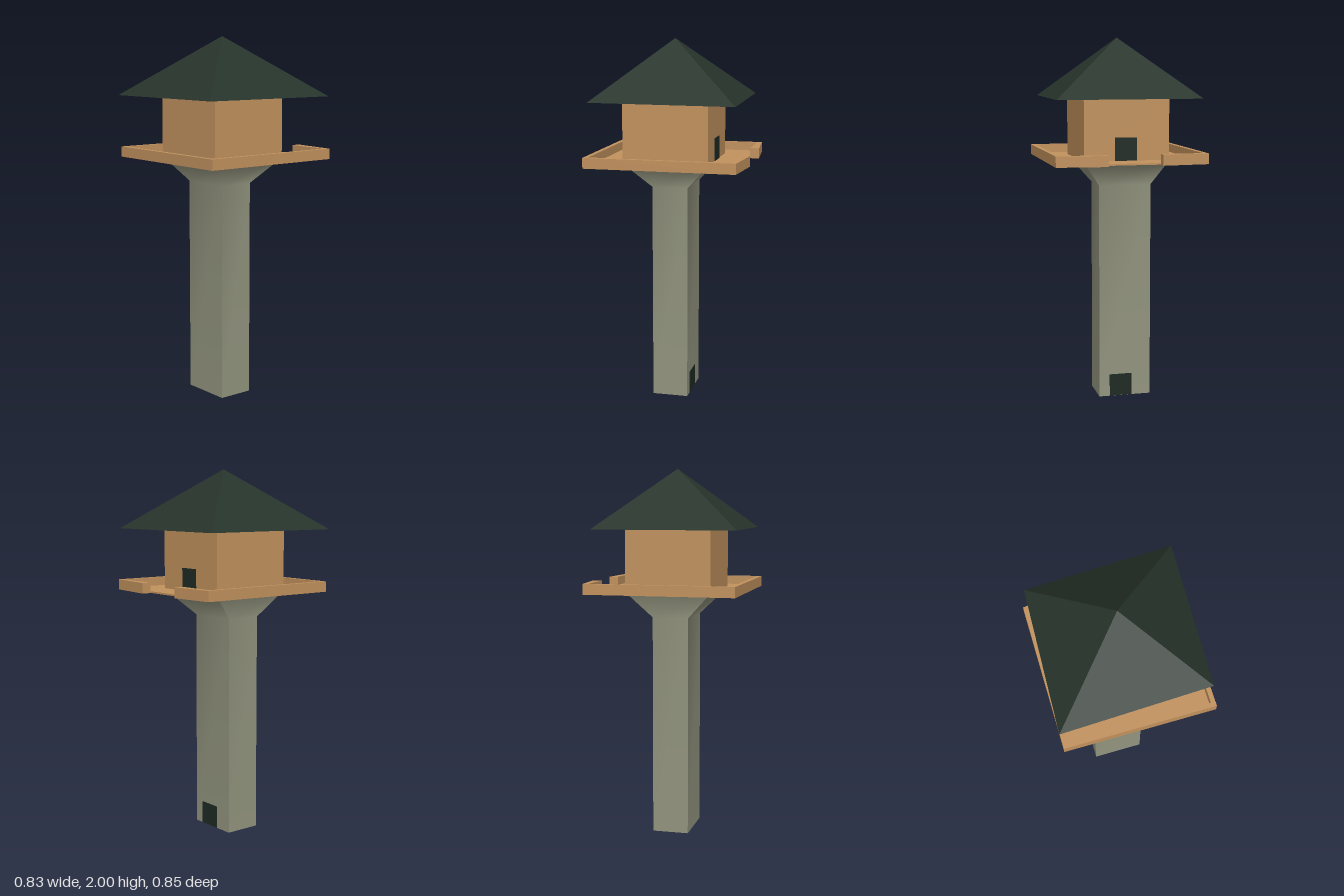
import * as THREE from 'three';

const mat = (name, color, side = THREE.FrontSide) => {
  const m = new THREE.MeshStandardMaterial({ color, side });
  m.name = name;
  return m;
};

// Loft between four-cornered rings (bottom to top); smooth up each side, sharp at the corners.
function loft(rings, capBottom, capTop) {
  const pos = [], idx = [];
  for (let s = 0; s < 4; s++) {
    const base = pos.length / 3;
    for (const r of rings) pos.push(...r[s], ...r[(s + 1) % 4]);
    for (let i = 0; i < rings.length - 1; i++) {
      const a = base + i * 2;
      idx.push(a, a + 1, a + 3, a, a + 3, a + 2);
    }
  }
  const cap = (ring, flip) => {
    const b = pos.length / 3;
    ring.forEach((p) => pos.push(...p));
    idx.push(...(flip ? [b, b + 2, b + 1, b, b + 3, b + 2] : [b, b + 1, b + 2, b, b + 2, b + 3]));
  };
  if (capBottom) cap(rings[0], true);
  if (capTop) cap(rings[rings.length - 1], false);
  const g = new THREE.BufferGeometry();
  g.setAttribute('position', new THREE.Float32BufferAttribute(pos, 3));
  g.setIndex(idx);
  g.computeVertexNormals();
  return g;
}

// Rectangle ring, counter-clockwise seen from above
const ring = (y, x0, x1, z0, z1) => [[x0, y, z1], [x1, y, z1], [x1, y, z0], [x0, y, z0]];

// Box given by its limits
function box(x0, x1, y0, y1, z0, z1) {
  const g = new THREE.BoxGeometry(x1 - x0, y1 - y0, z1 - z0);
  return g.translate((x0 + x1) / 2, (y0 + y1) / 2, (z0 + z1) / 2);
}

export function createModel() {
  const stone = mat('stone', 0x93957f);
  const wood = mat('wood', 0xc2925e);
  const roofGreen = mat('roofGreen', 0x26332a, THREE.DoubleSide);
  const doorDark = mat('doorDark', 0x1e2a22);

  const group = new THREE.Group();
  group.name = 'watchtower';
  const add = (name, geometry, material) => {
    const mesh = new THREE.Mesh(geometry, material);
    mesh.name = name;
    group.add(mesh);
  };

  // Column with flared head
  add('column', loft([
    ring(0, -0.175, 0.117, -0.083, 0.115),
    ring(1.2, -0.175, 0.117, -0.083, 0.115),
    ring(1.34, -0.24, 0.228, -0.218, 0.25),
  ], true, false), stone);

  // Balcony floor
  add('balconyFloor', box(-0.4, 0.408, 1.337, 1.346, -0.378, 0.41), wood);

  // Parapet, open at the middle of the back
  const outline = [
    [-0.15, -0.428], [-0.405, -0.403], [-0.405, 0.415], [0.413, 0.415], [0.413, -0.403], [0.14, -0.428],
    [0.14, -0.378], [0.388, -0.378], [0.388, 0.39], [-0.38, 0.39], [-0.38, -0.378], [-0.15, -0.378],
  ];
  const shape = new THREE.Shape(outline.map(([x, z]) => new THREE.Vector2(x, z)));
  const parapet = new THREE.ExtrudeGeometry(shape, { depth: 0.057, bevelEnabled: false });
  parapet.rotateX(Math.PI / 2).translate(0, 1.393, 0);
  add('parapet', parapet, wood);

  // Cabin
  add('cabin', box(-0.24, 0.228, 1.34, 1.68, -0.218, 0.25), wood);

  // Pyramid roof, slightly twisted
  const eaves = [[-0.415, 0.423], [0.377, 0.397], [0.405, -0.395], [-0.385, -0.365]].map(([x, z]) => [x, 1.678, z]);
  const apex = eaves.map(() => [-0.005, 2, 0.015]);
  const roof = loft([eaves, apex], true, false).toNonIndexed();
  roof.computeVertexNormals();
  add('roof', roof, roofGreen);

  // Doors at the foot of the column and on the cabin, both at the back
  add('columnDoor', box(-0.068, 0.058, 0.002, 0.125, -0.087, -0.082), doorDark);
  add('cabinDoor', box(-0.061, 0.059, 1.345, 1.47, -0.222, -0.217), doorDark);

  // Narrow slot under the balcony
  add('floorSlot', box(-0.1, 0.1, 1.334, 1.338, -0.236, -0.224), doorDark);

  return group;
}
